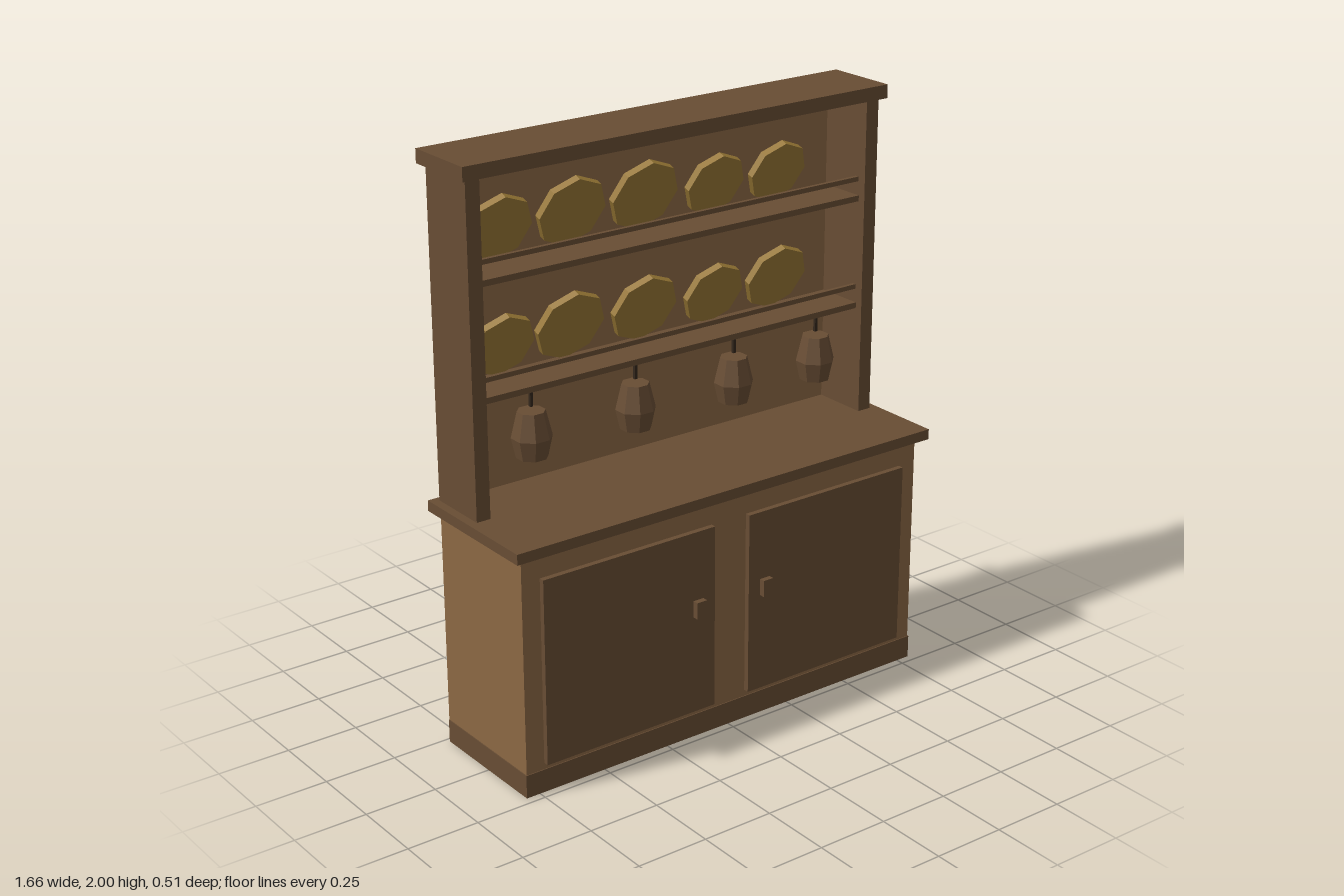
import * as THREE from 'three';

export function createModel() {
  const model = new THREE.Group();
  model.name = 'dresser';

  const mat = (name, color, flatShading = false) => {
    const m = new THREE.MeshStandardMaterial({ color, flatShading });
    m.name = name;
    return m;
  };
  const lightWood = mat('lightWood', 0x8c6844);
  const darkWood = mat('darkWood', 0x684d34, true);
  const brass = mat('agedBrass', 0x9a7936, true);
  const iron = mat('darkIron', 0x33271c);

  const add = (name, geometry, material, x = 0, y = 0, z = 0) => {
    const mesh = new THREE.Mesh(geometry, material);
    mesh.name = name;
    mesh.position.set(x, y, z);
    model.add(mesh);
    return mesh;
  };
  // Box given by its lower and upper corners
  const box = (name, material, [x0, y0, z0], [x1, y1, z1]) =>
    add(name, new THREE.BoxGeometry(x1 - x0, y1 - y0, z1 - z0), material,
      (x0 + x1) / 2, (y0 + y1) / 2, (z0 + z1) / 2);

  // Lower cupboard; the plinth wraps the front and sides
  box('cupboardBody', lightWood, [-0.797, 0.002, -0.236], [0.797, 0.826, 0.219]);
  box('plinth', darkWood, [-0.8, 0, -0.234], [0.8, 0.08, 0.222]);
  box('worktop', darkWood, [-0.83, 0.825, -0.257], [0.83, 0.861, 0.252]);

  // Upper rack
  box('backPanel', lightWood, [-0.75, 0.861, -0.236], [0.75, 1.955, -0.216]);
  box('cornice', darkWood, [-0.82, 1.954, -0.257], [0.82, 2, 0.002]);

  // Mirrored doors, knobs and rack sides
  for (const s of [-1, 1]) {
    const pair = (name, [x0, y0, z0], [x1, y1, z1]) =>
      box((s > 0 ? 'left' : 'right') + name, darkWood,
        [Math.min(s * x0, s * x1), y0, z0], [Math.max(s * x0, s * x1), y1, z1]);
    pair('Door', [0.07, 0.102, 0.215], [0.73, 0.742, 0.238]);
    pair('Knob', [0.117, 0.445, 0.235], [0.156, 0.503, 0.258]);
    pair('RackSide', [0.75, 0.86, -0.236], [0.8, 1.955, -0.018]);
  }

  // Shelves with plate rails
  for (const y of [1.228, 1.604]) {
    box('shelf', darkWood, [-0.75, y, -0.216], [0.75, y + 0.02, -0.046]);
    box('plateRail', darkWood, [-0.75, y + 0.068, -0.064], [0.75, y + 0.084, -0.05]);
  }

  // Eight-sided plates leaning forward: [x, radius] for each shelf
  const rows = [
    { base: 1.27, plates: [[-0.63, 0.113], [-0.378, 0.125], [-0.091, 0.122], [0.188, 0.113], [0.448, 0.119]] },
    { base: 1.64, plates: [[-0.633, 0.118], [-0.365, 0.123], [-0.088, 0.125], [0.192, 0.111], [0.448, 0.11]] },
  ];
  const lean = 0.35;
  for (const { base, plates } of rows) {
    for (const [x, r] of plates) {
      const plate = add('plate', new THREE.CylinderGeometry(r, r, 0.024, 8), brass,
        x, base + r * Math.cos(lean) + 0.004, -0.112);
      plate.rotation.x = Math.PI / 2 + lean;
    }
  }

  // Faceted mugs under iron hooks
  const mugProfile = [[0, 0], [0.052, 0], [0.067, 0.068], [0.046, 0.155], [0, 0.155]]
    .map(([r, y]) => new THREE.Vector2(r, y));
  for (const x of [-0.553, -0.153, 0.247, 0.597]) {
    const mug = add('mug', new THREE.LatheGeometry(mugProfile, 8), darkWood, x, 1.002, -0.075);
    mug.rotation.y = Math.PI / 8;
    box('hook', iron, [x - 0.005, 1.17, -0.08], [x + 0.005, 1.229, -0.07]);
  }

  return model;
}
